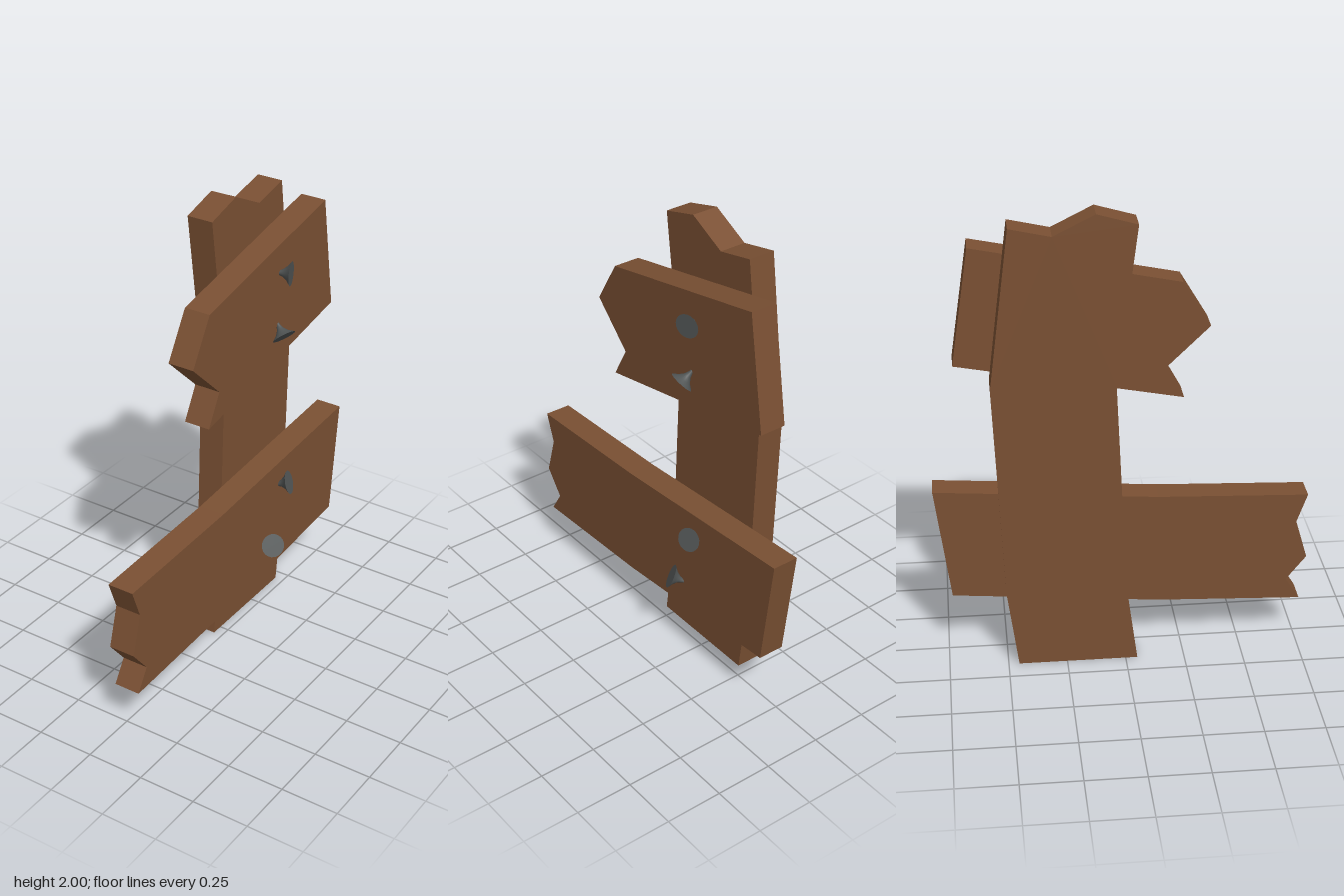
import * as THREE from 'three';

const THICK = 0.115;
const wood = new THREE.MeshStandardMaterial({ color: 0x7a5033, flatShading: true });
const iron = new THREE.MeshStandardMaterial({ color: 0x505454, side: THREE.DoubleSide });

// Plank from a [z, y] outline, extruded along x from x0
function plank(name, outline, x0) {
  const shape = new THREE.Shape(outline.map(([z, y]) => new THREE.Vector2(-z, y)));
  const geo = new THREE.ExtrudeGeometry(shape, { depth: THICK, bevelEnabled: false });
  geo.rotateY(Math.PI / 2).translate(x0, 0, 0);
  const mesh = new THREE.Mesh(geo, wood);
  mesh.name = name;
  return mesh;
}

// Bent nail: flat round head flaring from a thin spike
function nail(name, head, normal) {
  const group = new THREE.Group();
  group.name = name;
  const profile = [[0.004, -0.1], [0.008, -0.055], [0.015, -0.035], [0.03, -0.016], [0.051, 0]];
  const spike = new THREE.Mesh(
    new THREE.LatheGeometry(profile.map(([r, y]) => new THREE.Vector2(r, y)), 20), iron);
  spike.name = 'nailSpike';
  const cap = new THREE.Mesh(new THREE.CircleGeometry(0.051, 20).rotateX(-Math.PI / 2), iron);
  cap.name = 'nailHead';
  group.add(spike, cap);
  group.position.set(...head);
  group.quaternion.setFromUnitVectors(
    new THREE.Vector3(0, 1, 0), new THREE.Vector3(...normal).normalize());
  return group;
}

export function createModel() {
  const model = new THREE.Group();
  model.name = 'woodenSignpost';

  // Upright post with a slight bow and a broken top
  model.add(plank('post', [
    [0.05, 0], [-0.455, 0], [-0.5, 0.34], [-0.541, 1.28], [-0.455, 1.953],
    [-0.285, 1.915], [-0.115, 2], [0.05, 1.953], [-0.037, 1.28], [0.005, 0.34],
  ], -0.155));

  // Sign boards with splintered ends
  model.add(plank('upperBoard', [
    [0.24, 1.667], [0.355, 1.475], [0.175, 1.3], [0.25, 1.165], [-0.685, 1.343], [-0.61, 1.84],
  ], -0.04));
  model.add(plank('lowerBoard', [
    [0.785, 0.687], [0.74, 0.56], [0.79, 0.388], [0.705, 0.28], [0.765, 0.185],
    [0.15, 0.21], [-0.725, 0.285], [-0.79, 0.78], [0.15, 0.71],
  ], -0.04));

  // Nails, each knocked a different way
  [
    ['upperNailA', [0.117, 1.645, -0.283], [0.94, 0, -0.33]],
    ['upperNailB', [0.112, 1.375, -0.245], [0.66, -0.7, 0.22]],
    ['lowerNailA', [0.115, 0.647, -0.302], [0.9, 0.3, -0.3]],
    ['lowerNailB', [0.113, 0.385, -0.182], [0.7, 0.42, 0.55]],
  ].forEach((n) => model.add(nail(...n)));

  return model;
}
